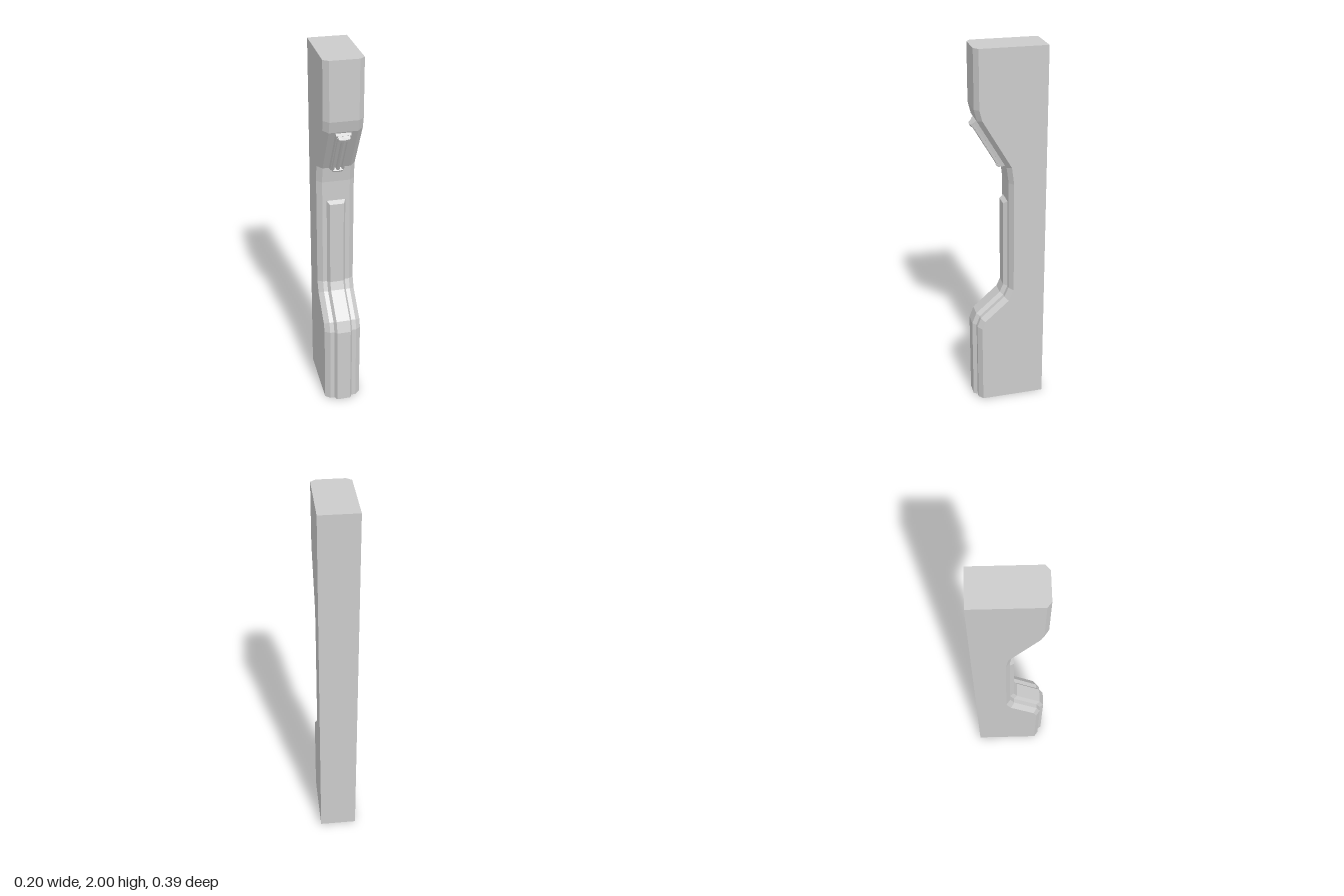
import * as THREE from 'three';

const material = new THREE.MeshStandardMaterial({ color: 0xcccccc, flatShading: true, side: THREE.DoubleSide });

// Skins a list of equal-length convex sections (bottom to top, counter-clockwise from above)
function loft(name, sections) {
  const n = sections[0].length;
  const index = [];
  for (let s = 0; s < sections.length - 1; s++) {
    for (let i = 0; i < n; i++) {
      const a = s * n + i, b = s * n + (i + 1) % n;
      index.push(a, b, b + n, a, b + n, a + n);
    }
  }
  const top = (sections.length - 1) * n;
  for (let i = 1; i < n - 1; i++) {
    index.push(0, i + 1, i, top, top + i, top + i + 1);
  }
  const indexed = new THREE.BufferGeometry();
  indexed.setAttribute('position', new THREE.Float32BufferAttribute(sections.flat(2), 3));
  indexed.setIndex(index);
  const geometry = indexed.toNonIndexed();
  geometry.computeVertexNormals();
  const mesh = new THREE.Mesh(geometry, material);
  mesh.name = name;
  return mesh;
}

// Moves a [y, z] path outward by d, with mitred corners
function offset(path, d) {
  const normal = (a, b) => new THREE.Vector2(-(b[1] - a[1]), b[0] - a[0]).normalize();
  return path.map((p, i) => {
    const n0 = normal(path[Math.max(i - 1, 0)], path[Math.max(i, 1)]);
    const last = path.length - 1;
    const n1 = normal(path[Math.min(i, last - 1)], path[Math.min(i + 1, last)]);
    const m = n0.clone().add(n1).normalize();
    const k = d / m.dot(n0);
    return [p[0] + m.x * k, p[1] + m.y * k];
  });
}

// Bar with sloped sides and ends; ridge raises its centre line
function bar(name, y0, y1, w0, w1, z0, z1, inset, ridge = 0) {
  const section = (y, yTop) => [
    [-w0, y, z0], [-w1, yTop, z1], [0, yTop, z1 + ridge], [w1, yTop, z1], [w0, y, z0],
  ];
  return loft(name, [section(y0, y0 + inset), section(y1, y1 - inset)]);
}

export function createModel() {
  const model = new THREE.Group();
  model.name = 'pillar';

  // Front face outline as [y, z], bottom to top
  const front = [
    [0, 0.172], [0.467, 0.172], [0.52, 0.152], [0.637, 0.02], [0.69, -0.003],
    [1.3, -0.003], [1.385, 0.008], [1.64, 0.157], [1.7, 0.172], [2, 0.172],
  ];

  // Column with chamfered front corners
  const edge = offset(front, -0.022);
  model.add(loft('column', front.map(([y, z], i) => {
    const [ey, ez] = edge[i];
    return [
      [-0.073, y, z], [0.073, y, z], [0.1, ey, ez],
      [0.1, ey, -0.195], [-0.1, ey, -0.195], [-0.1, ey, ez],
    ];
  })));

  // Raised strip following the lower front, with a bevelled top end
  const stripBase = [...front.slice(0, 5), [1.19, -0.003]];
  const stripFace = offset(stripBase, 0.021);
  stripFace[5][0] = 1.175;
  model.add(loft('frontStrip', stripBase.map(([y, z], i) => {
    const [fy, fz] = stripFace[i];
    return [[-0.037, fy, fz], [0.037, fy, fz], [0.05, y, z], [-0.05, y, z]];
  })));

  // Tiered fitting on the upper slope
  const fitting = new THREE.Group();
  fitting.name = 'slopeFitting';
  fitting.position.set(0, 1.512, 0.082);
  fitting.rotation.x = Math.atan2(0.149, 0.255);
  fitting.add(
    bar('fittingBase', -0.148, 0.142, 0.041, 0.036, -0.005, 0.016, 0.004),
    bar('fittingRib', -0.13, 0.125, 0.012, 0.008, 0.01, 0.03, 0.004, 0.003),
    bar('upperCap', 0.112, 0.138, 0.032, 0.026, 0.01, 0.034, 0.005, 0.005),
    bar('lowerCap', -0.146, -0.124, 0.032, 0.026, 0.01, 0.032, 0.005, 0.004),
  );
  for (const side of [-1, 1]) {
    const rail = bar('sideRail', -0.138, 0.13, 0.008, 0.005, 0.01, 0.028, 0.004);
    rail.position.x = side * 0.025;
    fitting.add(rail);
  }
  model.add(fitting);

  return model;
}
